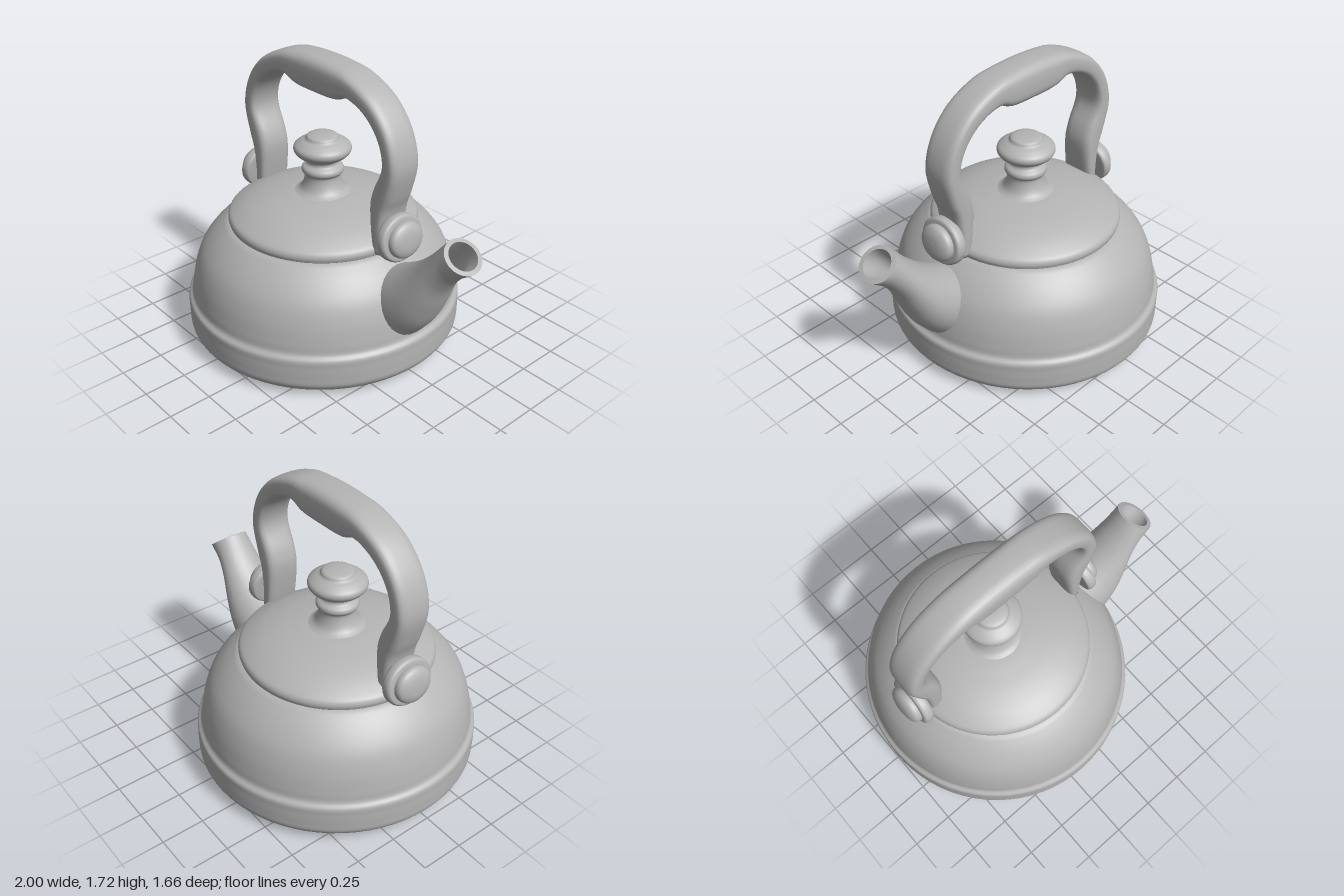
import * as THREE from 'three';

const enamel = new THREE.MeshStandardMaterial({ color: 0xb4b4b4, side: THREE.DoubleSide });
enamel.name = 'grey enamel';

function addMesh(parent, name, geometry) {
  const mesh = new THREE.Mesh(geometry, enamel);
  mesh.name = name;
  parent.add(mesh);
  return mesh;
}

// Turned part from a smooth profile of [radius, height] points
function turned(profile, samples, segments) {
  const curve = new THREE.SplineCurve(profile.map(([r, y]) => new THREE.Vector2(r, y)));
  const points = curve.getPoints(samples);
  points.forEach((p) => { p.x = Math.max(0, p.x); });
  return new THREE.LatheGeometry(points, segments);
}

// Skin over cross-sections; each station is [upperX, upperY, lowerX, lowerY, halfDepth]
function skin(stations, steps, sides, power, capEnd) {
  const upper = new THREE.CatmullRomCurve3(stations.map((s) => new THREE.Vector3(s[0], s[1], s[4])));
  const lower = new THREE.CatmullRomCurve3(stations.map((s) => new THREE.Vector3(s[2], s[3], 0)));
  const soft = (v) => Math.sign(v) * Math.pow(Math.abs(v), power);
  const positions = [], index = [];
  for (let i = 0; i <= steps; i++) {
    const u = upper.getPoint(i / steps), l = lower.getPoint(i / steps);
    for (let j = 0; j < sides; j++) {
      const a = (j / sides) * Math.PI * 2;
      const k = 0.5 + 0.5 * soft(Math.cos(a));
      positions.push(l.x + (u.x - l.x) * k, l.y + (u.y - l.y) * k, u.z * soft(Math.sin(a)));
      if (i < steps) {
        const n = (j + 1) % sides, p = i * sides, q = p + sides;
        index.push(p + j, p + n, q + j, p + n, q + n, q + j);
      }
    }
  }
  if (capEnd) {
    const p = steps * sides;
    for (let j = 1; j < sides - 1; j++) index.push(p, p + j, p + j + 1);
  }
  const geometry = new THREE.BufferGeometry();
  geometry.setAttribute('position', new THREE.Float32BufferAttribute(positions, 3));
  geometry.setIndex(index);
  geometry.computeVertexNormals();
  return geometry;
}

export function createModel() {
  const kettle = new THREE.Group();
  kettle.name = 'kettle';
  const bodyX = -0.185, handleX = -0.155;

  // Body with a wide base band and a domed shoulder
  const body = addMesh(kettle, 'body', turned([
    [0, 0.012], [0.35, 0.01], [0.66, 0.012], [0.76, 0.032], [0.808, 0.08], [0.815, 0.14],
    [0.815, 0.21], [0.813, 0.255], [0.79, 0.285], [0.782, 0.34], [0.762, 0.44], [0.725, 0.54],
    [0.67, 0.62], [0.6, 0.69], [0.54, 0.725], [0.4, 0.74],
  ], 90, 72));
  body.position.x = bodyX;
  body.scale.z = 1.015;

  // Lid with rolled edge
  const lid = addMesh(kettle, 'lid', turned([
    [0.4, 0.72], [0.535, 0.718], [0.558, 0.735], [0.556, 0.765], [0.53, 0.79], [0.45, 0.832],
    [0.35, 0.865], [0.25, 0.885], [0.17, 0.896], [0.08, 0.9], [0, 0.9],
  ], 60, 64));
  lid.position.x = bodyX;

  // Lid knob
  const knob = addMesh(kettle, 'lidKnob', turned([
    [0.19, 0.885], [0.14, 0.91], [0.115, 0.95], [0.105, 1.0], [0.122, 1.025], [0.118, 1.05],
    [0.093, 1.07], [0.095, 1.095], [0.14, 1.12], [0.166, 1.15], [0.163, 1.18], [0.13, 1.205],
    [0.1, 1.22], [0.085, 1.24], [0.04, 1.25], [0, 1.251],
  ], 70, 40));
  knob.position.x = bodyX;

  // Spout: outer skin, flat rim and inner lining
  addMesh(kettle, 'spout', skin([
    [0.3, 0.6, 0.5, 0.2, 0.18], [0.43, 0.66, 0.61, 0.3, 0.197], [0.55, 0.725, 0.7, 0.41, 0.185],
    [0.65, 0.8, 0.765, 0.54, 0.16], [0.74, 0.89, 0.825, 0.68, 0.132],
    [0.79, 0.95, 0.9, 0.785, 0.118], [0.825, 0.992, 0.997, 0.862, 0.115],
  ], 32, 28, 1, false));
  addMesh(kettle, 'spoutRim', skin([
    [0.825, 0.992, 0.997, 0.862, 0.115], [0.845, 0.98, 0.978, 0.879, 0.088],
  ], 1, 28, 1, false));
  addMesh(kettle, 'spoutLining', skin([
    [0.845, 0.98, 0.978, 0.879, 0.088], [0.79, 0.9, 0.89, 0.81, 0.088], [0.72, 0.81, 0.79, 0.66, 0.088],
  ], 8, 28, 1, true));

  // Arched handle with thick grip, right half mirrored from the left
  const half = [
    [-0.57, 0.74, -0.49, 0.74, 0.1], [-0.565, 0.85, -0.47, 0.85, 0.103],
    [-0.585, 1.0, -0.455, 1.03, 0.105], [-0.62, 1.1, -0.475, 1.12, 0.105],
    [-0.653, 1.28, -0.54, 1.27, 0.105], [-0.6, 1.46, -0.51, 1.4, 0.105],
    [-0.47, 1.61, -0.41, 1.51, 0.107], [-0.28, 1.7, -0.26, 1.56, 0.109],
    [-0.14, 1.722, -0.17, 1.525, 0.112],
  ];
  const mirrored = half.map((s) => [-s[0], s[1], -s[2], s[3], s[4]]).reverse();
  const arch = [...half, [0, 1.728, 0, 1.517, 0.113], ...mirrored];
  addMesh(kettle, 'handle', skin(arch, 90, 28, 0.6, true)).position.x = handleX;

  // Pivot plates with domed buttons on both ends of the handle
  for (const side of [-1, 1]) {
    const pivot = new THREE.Group();
    pivot.name = side < 0 ? 'rightPivot' : 'leftPivot';
    addMesh(pivot, 'pivotPlate', turned([
      [0, -0.035], [0.12, -0.035], [0.145, -0.025], [0.15, 0], [0.145, 0.022], [0.12, 0.032], [0, 0.035],
    ], 30, 32));
    addMesh(pivot, 'pivotButton', turned([
      [0.112, 0.02], [0.114, 0.05], [0.1, 0.072], [0.06, 0.088], [0, 0.093],
    ], 20, 32));
    pivot.position.set(handleX + side * 0.61, 0.845, 0);
    pivot.scale.set(0.92, 1, 1.02);
    pivot.rotation.z = -side * (Math.PI / 2 - 0.12);
    kettle.add(pivot);
  }
  return kettle;
}
